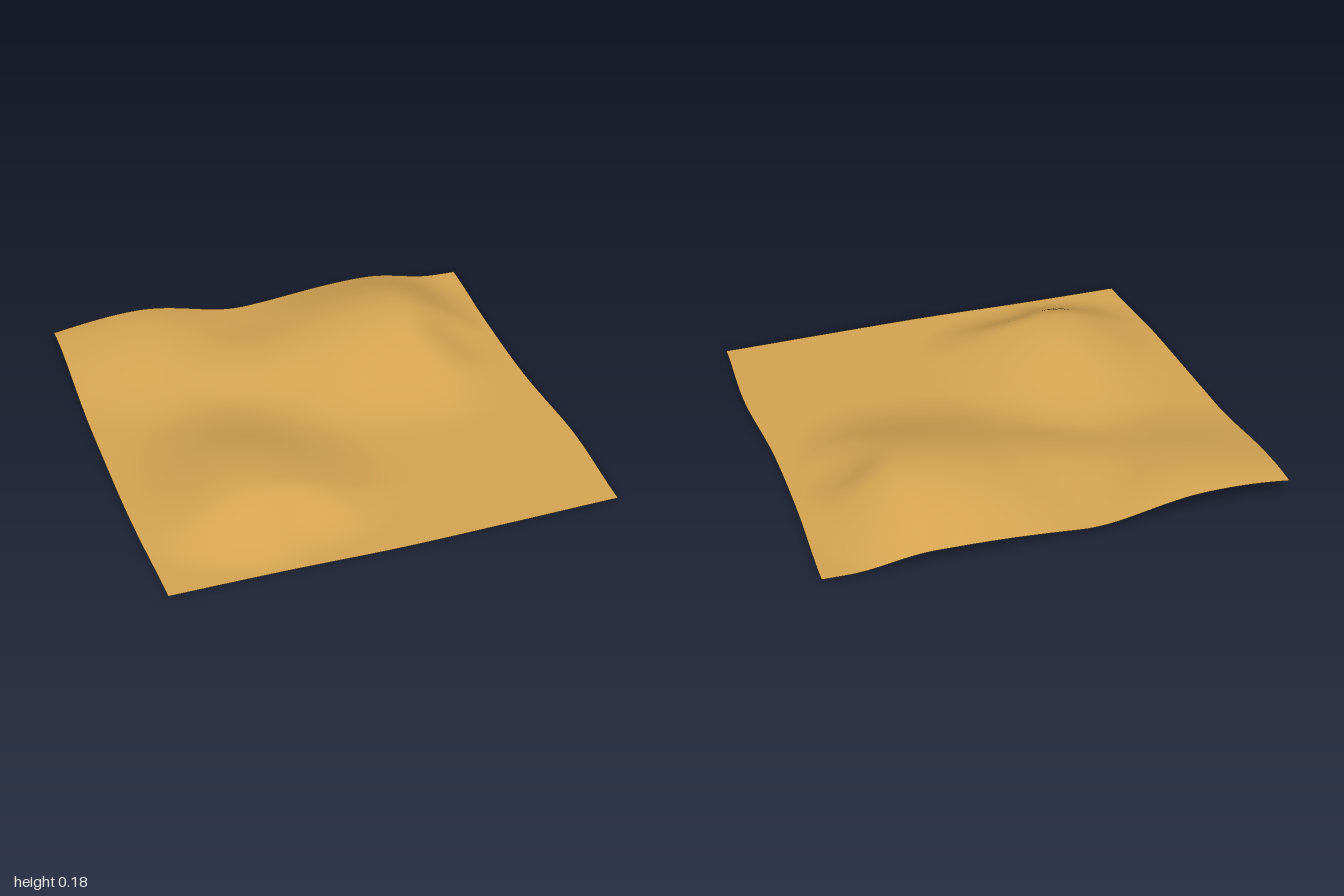
import * as THREE from 'three';

// Each mound: centre x, z, height, then reach towards -x, +x, -z, +z
const MOUNDS = [
  [0.53, -0.5, 0.163, 1.0, 0.46, 0.73, 0.8],    // tall dune
  [-0.5, 0.54, 0.133, 0.55, 0.67, 0.85, 0.42],  // front dune
  [-0.6, -0.84, 0.09, 0.85, 0.55, 0.6, 0.72],   // back rise
  [-0.2, -0.45, 0.022, 0.35, 0.35, 0.35, 0.35], // low saddle
  [0.72, -0.32, -0.025, 0.22, 0.22, 0.22, 0.28],  // hollow on the steep side
  [-0.36, 0.75, -0.018, 0.2, 0.24, 0.2, 0.22],    // hollow on the steep side
];

function heightAt(x, z) {
  let h = 0.013 - 0.01 * z;
  for (const [cx, cz, a, xn, xp, zn, zp] of MOUNDS) {
    const dx = (x - cx) / (x < cx ? xn : xp);
    const dz = (z - cz) / (z < cz ? zn : zp);
    const r = Math.min(1, Math.hypot(dx, dz));
    h += a * (0.5 + 0.5 * Math.cos(Math.PI * r));
  }
  return Math.max(0, h);
}

// Slightly wavy border lines, given as [position along the edge, offset]
const edge = (pts) => new THREE.SplineCurve(pts.map(([t, v]) => new THREE.Vector2(t, v)));
const leftEdge = edge([[-1, -0.985], [-0.5, -0.993], [0, -0.998], [0.5, -0.998], [1, -0.98]]);
const rightEdge = edge([[-1, 0.997], [-0.6, 0.968], [-0.15, 0.955], [0.3, 0.972], [1, 0.945]]);
const backEdge = edge([[-1, -0.965], [-0.55, -0.98], [-0.1, -0.962], [0.45, -0.968], [1, -0.945]]);
const frontEdge = edge([[-1, 0.962], [-0.5, 0.965], [0.2, 0.977], [0.6, 0.972], [1, 0.964]]);

export function createModel() {
  const sand = new THREE.MeshStandardMaterial({ color: 0xd6a552, side: THREE.DoubleSide });
  sand.name = 'sand';

  // Dune surface: a fine grid fitted to the border and raised by the mounds
  const n = 96;
  const geo = new THREE.PlaneGeometry(2, 2, n, n).rotateX(-Math.PI / 2);
  const pos = geo.attributes.position;
  const sample = (c) => Array.from({ length: n + 1 }, (_, i) => c.getPoint(i / n).y);
  const [l, r, b, f] = [leftEdge, rightEdge, backEdge, frontEdge].map(sample);
  for (let i = 0; i < pos.count; i++) {
    const col = i % (n + 1), row = Math.floor(i / (n + 1));
    const x = THREE.MathUtils.lerp(l[row], r[row], col / n);
    const z = THREE.MathUtils.lerp(b[col], f[col], row / n);
    pos.setXYZ(i, x, heightAt(x, z), z);
  }
  geo.computeVertexNormals();

  const dunes = new THREE.Mesh(geo, sand);
  dunes.name = 'sandDunes';
  const group = new THREE.Group();
  group.name = 'desertGround';
  group.add(dunes);
  return group;
}
